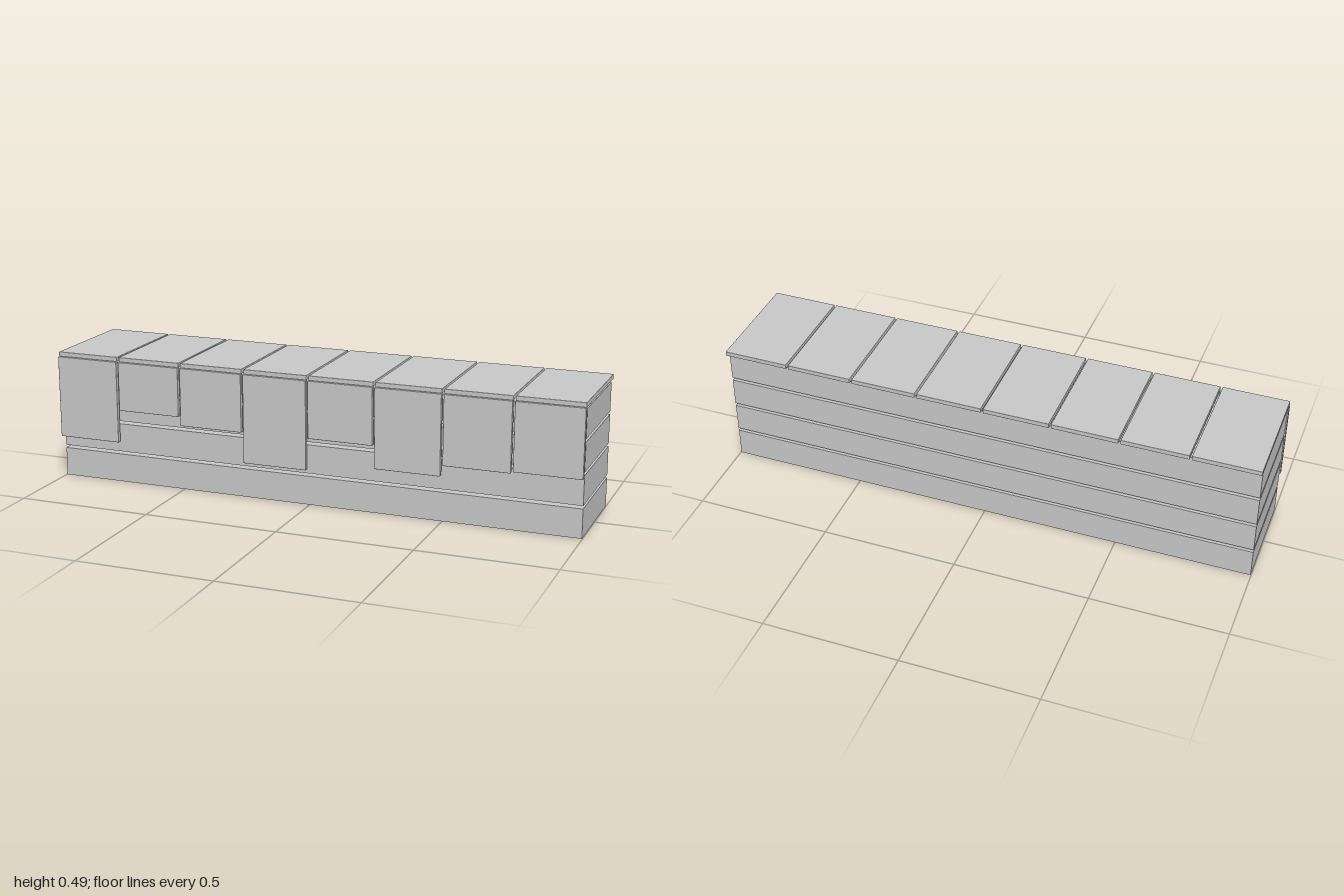
import * as THREE from 'three';
import { RoundedBoxGeometry } from 'three/addons/geometries/RoundedBoxGeometry.js';

export function createModel() {
  const model = new THREE.Group();
  model.name = 'slattedBench';
  const grey = new THREE.MeshStandardMaterial({ color: 0xc8c8c8 });
  grey.name = 'light grey';

  // Adds a box spanning the given minimum and maximum corners
  function addBox(name, [x0, y0, z0], [x1, y1, z1], radius = 0) {
    const size = [x1 - x0, y1 - y0, z1 - z0];
    const geometry = radius
      ? new RoundedBoxGeometry(...size, 2, radius)
      : new THREE.BoxGeometry(...size);
    const mesh = new THREE.Mesh(geometry, grey);
    mesh.name = name;
    mesh.position.set((x0 + x1) / 2, (y0 + y1) / 2, (z0 + z1) / 2);
    model.add(mesh);
  }

  // Four long beams, stacked with open gaps
  for (let i = 0; i < 4; i++) {
    const y = i * 0.118;
    addBox(`beam${i + 1}`, [-0.998, y, -0.191], [0.998, y + 0.107, 0.186]);
  }

  // Eight seat boards, each with a front board hanging to its own depth
  const bottoms = [0.16, 0.284, 0.251, 0.137, 0.256, 0.172, 0.212, 0.218];
  const width = 0.243;
  const pitch = (2 - width) / 7;
  bottoms.forEach((bottom, i) => {
    const x = -1 + i * pitch;
    addBox(`seatBoard${i + 1}`, [x, 0.468, -0.213], [x + width, 0.485, 0.206], 0.0015);
    addBox(`frontBoard${i + 1}`, [x, bottom, 0.198], [x + width, 0.468, 0.214], 0.0015);
  });

  return model;
}
